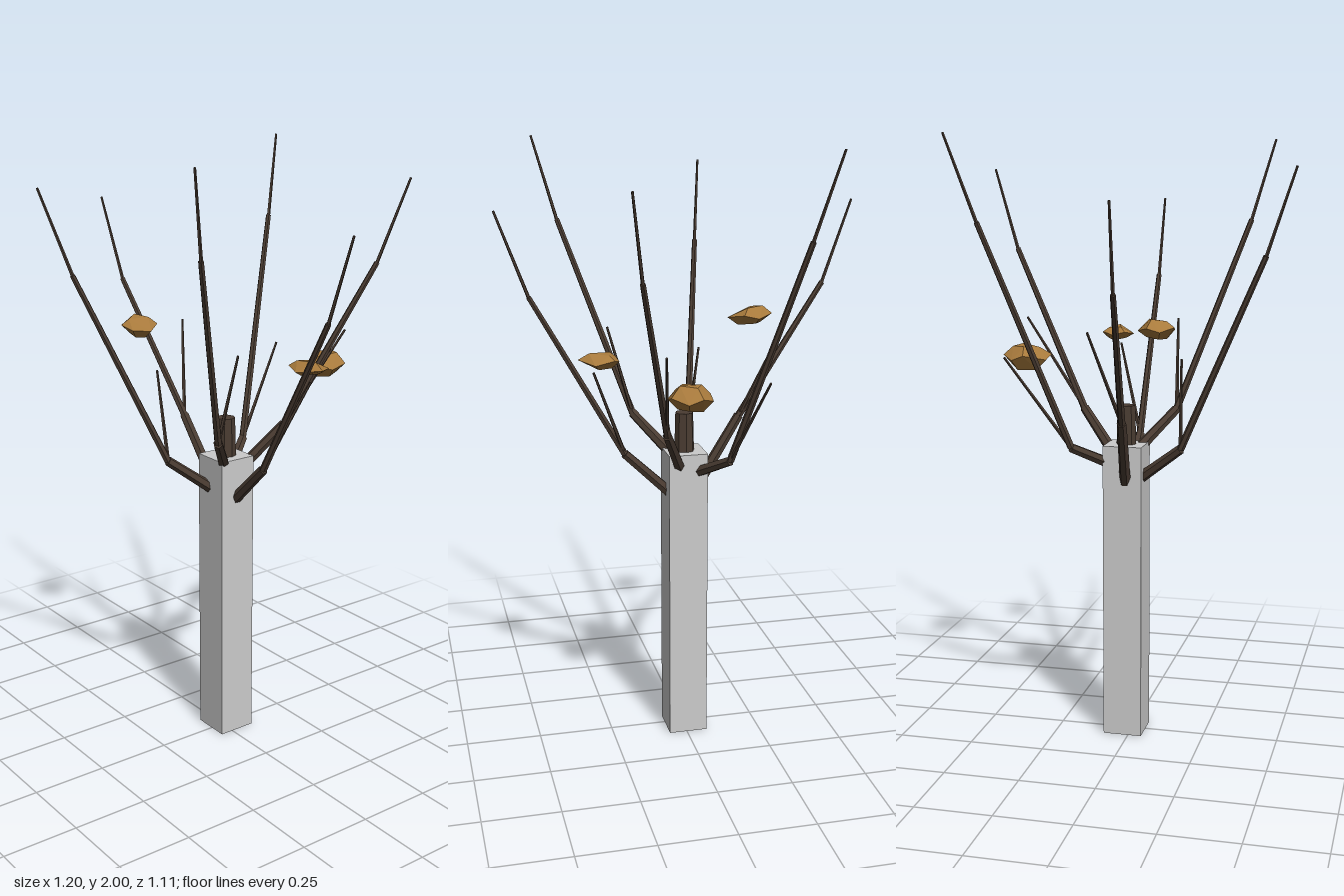
import * as THREE from 'three';
import { ConvexGeometry } from 'three/addons/geometries/ConvexGeometry.js';

const grey = new THREE.MeshStandardMaterial({ color: 0xcccccc, flatShading: true });
const bark = new THREE.MeshStandardMaterial({ color: 0x4a3c32, flatShading: true });
const leafMat = new THREE.MeshStandardMaterial({ color: 0xa87a3c, flatShading: true });
const CX = -0.005, CZ = -0.02; // trunk axis

// Tapered limb between two points
function limb(name, a, b, r0, r1, sides) {
  const from = new THREE.Vector3(...a), to = new THREE.Vector3(...b);
  const dir = to.clone().sub(from);
  const mesh = new THREE.Mesh(new THREE.CylinderGeometry(r1, r0, dir.length(), sides), bark);
  mesh.position.copy(from).add(to).multiplyScalar(0.5);
  mesh.quaternion.setFromUnitVectors(new THREE.Vector3(0, 1, 0), dir.normalize());
  mesh.name = name;
  return mesh;
}

// Chunky dry leaf: faceted hull around an [x, z] outline
function leaf(outline, yMin, yMax) {
  const n = outline.length, h = yMax - yMin;
  const cx = outline.reduce((s, p) => s + p[0], 0) / n;
  const cz = outline.reduce((s, p) => s + p[1], 0) / n;
  const points = [];
  outline.forEach(([x, z], i) => {
    const at = (k, y) => points.push(new THREE.Vector3((x - cx) * k, y * h, (z - cz) * k));
    at(1, i % 2 ? 0.1 : -0.08);
    if (i % 2) at(0.55, 0.5 - 0.06 * (i % 3));
    else at(0.55, -0.5 + 0.06 * (i % 3));
  });
  const mesh = new THREE.Mesh(new ConvexGeometry(points), leafMat);
  mesh.position.set(cx, (yMin + yMax) / 2, cz);
  mesh.name = 'leaf';
  return mesh;
}

export function createModel() {
  const tree = new THREE.Group();
  tree.name = 'tree';

  // Square trunk with a round core rising out of it
  const trunk = new THREE.Mesh(new THREE.BoxGeometry(0.13, 1, 0.13), grey);
  trunk.position.set(CX, 0.5, CZ);
  trunk.name = 'trunk';
  tree.add(trunk, limb('trunkCore', [CX, 0, CZ], [CX, 1.13, CZ], 0.06, 0.03, 8));

  // Each branch: start height on the axis, elbow, upper joint, tip, twig end
  const branches = [
    [0.81, [0.195, 1.0, -0.02], [0.495, 1.53, -0.02], [0.595, 1.8, -0.02], [0.31, 1.3, -0.115]],
    [0.94, [0.14, 1.1, 0.12], [0.35, 1.73, 0.335], [0.42, 2.0, 0.405], [0.225, 1.4, 0.107]],
    [0.85, [-0.063, 1.0, 0.175], [-0.157, 1.63, 0.457], [-0.19, 1.9, 0.55], [-0.105, 1.3, 0.185]],
    [0.8, [-0.2, 1.1, 0.012], [-0.497, 1.53, 0.06], [-0.597, 1.8, 0.075], [-0.32, 1.4, -0.067]],
    [0.91, [-0.12, 1.0, -0.178], [-0.298, 1.73, -0.425], [-0.36, 2.0, -0.505], [-0.19, 1.3, -0.38]],
    [0.9, [0.09, 1.1, -0.19], [0.222, 1.63, -0.463], [0.268, 1.9, -0.555], [0.14, 1.4, -0.405]],
  ];
  for (const [y, elbow, joint, tip, twigEnd] of branches) {
    const branch = new THREE.Group();
    branch.name = 'branch';
    branch.add(
      limb('branchBase', [CX, y, CZ], elbow, 0.02, 0.016, 6),
      limb('branchMiddle', elbow, joint, 0.0125, 0.009, 6),
      limb('branchTip', joint, tip, 0.006, 0.004, 5),
      limb('twig', elbow, twigEnd, 0.007, 0.004, 5),
    );
    tree.add(branch);
  }

  // Three remaining leaves
  tree.add(
    leaf([[-0.195, 0.145], [-0.24, 0.09], [-0.29, 0.085], [-0.345, 0.125], [-0.342, 0.165], [-0.29, 0.2], [-0.235, 0.19]], 1.38, 1.445),
    leaf([[0, -0.42], [0.04, -0.46], [0.085, -0.46], [0.13, -0.42], [0.13, -0.365], [0.09, -0.305], [0.04, -0.31], [0, -0.38]], 1.23, 1.315),
    leaf([[0.23, -0.13], [0.235, -0.085], [0.295, -0.065], [0.36, -0.12], [0.315, -0.185], [0.25, -0.165]], 1.315, 1.365),
  );
  return tree;
}
